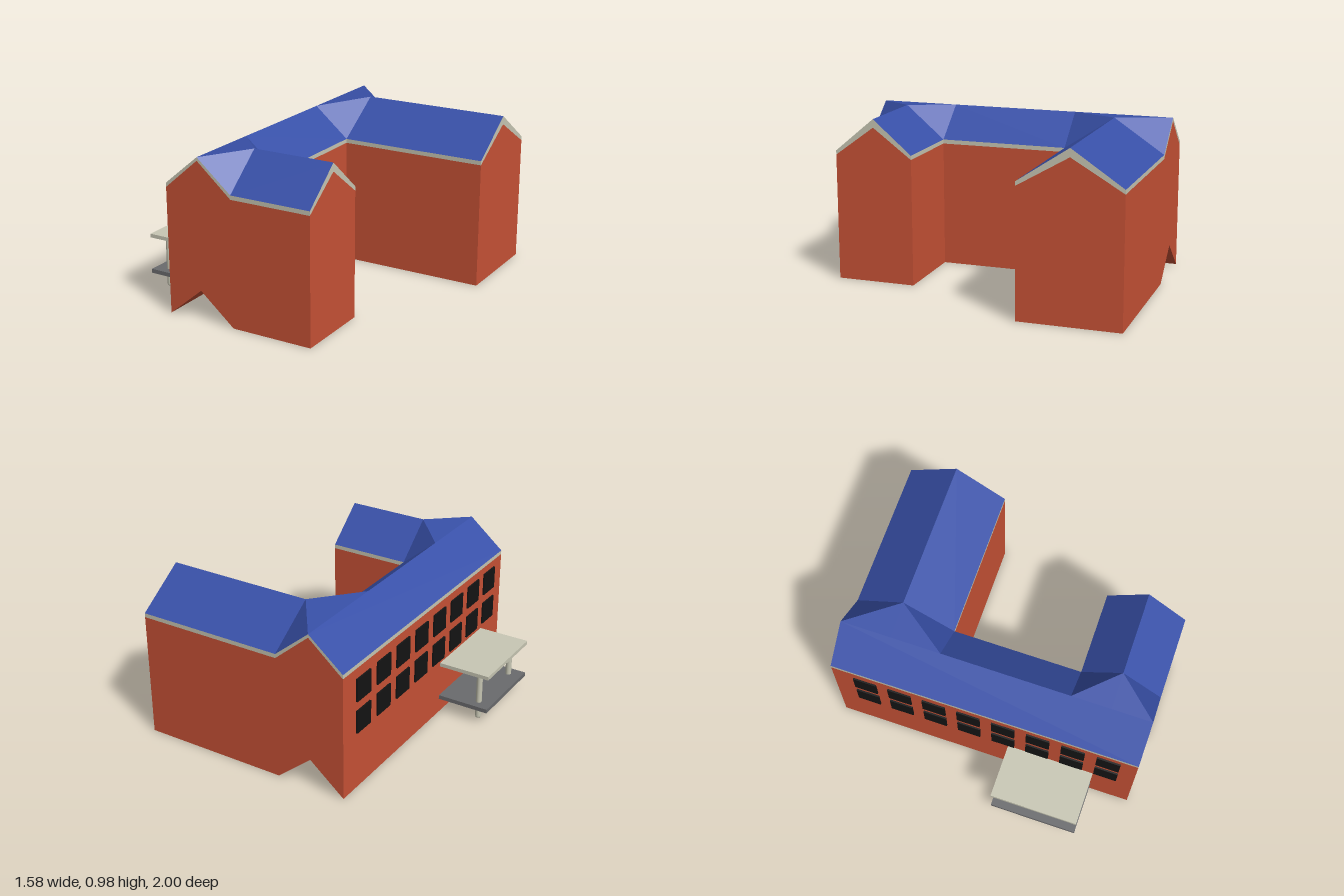
import * as THREE from 'three';

const mat = (color, extra = {}) => new THREE.MeshStandardMaterial({ color, ...extra });
const brick = mat(0xc85236, { flatShading: true });
const cream = mat(0xc8c7b4, { flatShading: true });
const blue = mat(0x3850a8, { flatShading: true });
const dark = mat(0x141414);
const grey = mat(0x6a6b6d);
const round = mat(0xc8c7b4);

// Plan sizes: x runs across the main block, z along it
const LEN = 1.845, MID = 0.215, WIDE = 0.43;
const EAVE = 0.78, RIDGE = 0.96, WING_RIDGE = 0.98, ARCH = 0.18;
const wings = [
  { v0: 0, vm: 0.3, v1: 0.6, end: 1.33 },
  { v0: 1.37, vm: 1.605, v1: LEN, end: 0.93 },
];

// Flat polygons, corners counter-clockwise seen from outside
function faces(name, polys, material) {
  const pos = [];
  for (const p of polys)
    for (let i = 1; i < p.length - 1; i++) pos.push(...p[0], ...p[i], ...p[i + 1]);
  const g = new THREE.BufferGeometry();
  g.setAttribute('position', new THREE.Float32BufferAttribute(pos, 3));
  g.computeVertexNormals();
  const m = new THREE.Mesh(g, material);
  m.name = name;
  return m;
}

function box(name, x0, x1, y0, y1, z0, z1, material) {
  const m = new THREE.Mesh(new THREE.BoxGeometry(x1 - x0, y1 - y0, z1 - z0), material);
  m.position.set((x0 + x1) / 2, (y0 + y1) / 2, (z0 + z1) / 2);
  m.name = name;
  return m;
}

// Building outline: each corner has a floor, wall top and roof height
function outline() {
  const low = (x, z) => ({ x, z, floor: 0, wall: EAVE - 0.025, roof: EAVE });
  const mainGable = (z) => ({ x: MID, z, floor: ARCH, wall: RIDGE - 0.02, roof: RIDGE });
  const wingGable = (x, z) => ({ x, z, floor: 0, wall: WING_RIDGE - 0.05, roof: WING_RIDGE });
  const [back, front] = wings;
  return [
    low(0, 0), low(0, LEN), mainGable(LEN), low(WIDE, LEN),
    low(front.end, LEN), wingGable(front.end, front.vm), low(front.end, front.v0), low(WIDE, front.v0),
    low(WIDE, back.v1), low(back.end, back.v1), wingGable(back.end, back.vm), low(back.end, 0),
    low(WIDE, 0), mainGable(0),
  ];
}

function band(loop, lower, upper) {
  return loop.map((a, i) => {
    const b = loop[(i + 1) % loop.length];
    return [[a.x, a[lower], a.z], [b.x, b[lower], b.z], [b.x, b[upper], b.z], [a.x, a[upper], a.z]];
  });
}

function roofFaces() {
  const polys = [
    [[0, EAVE, LEN], [MID, RIDGE, LEN], [MID, RIDGE, 0], [0, EAVE, 0]],
    [[MID, RIDGE, wings[1].v0], [WIDE, EAVE, wings[1].v0], [WIDE, EAVE, wings[0].v1], [MID, RIDGE, wings[0].v1]],
  ];
  for (const { v0, vm, v1, end } of wings) {
    const top = [WIDE, WING_RIDGE, vm];
    polys.push(
      // wing slopes
      [[WIDE, EAVE, v1], [end, EAVE, v1], [end, WING_RIDGE, vm], top],
      [top, [end, WING_RIDGE, vm], [end, EAVE, v0], [WIDE, EAVE, v0]],
      // transition from the main ridge to the wing gable
      [[MID, RIDGE, v1], [WIDE, EAVE, v1], top, [MID, RIDGE, vm]],
      [[MID, RIDGE, v0], [MID, RIDGE, vm], top, [WIDE, EAVE, v0]],
    );
  }
  return polys;
}

function floorFaces() {
  const strip = (x0, y0, x1, y1, z0, z1) => [[x0, y0, z0], [x1, y1, z0], [x1, y1, z1], [x0, y0, z1]];
  return [
    strip(0, 0, MID, ARCH, 0, LEN),
    strip(MID, ARCH, WIDE, 0, 0, LEN),
    ...wings.map((w) => strip(WIDE, 0, w.end, 0, w.v0, w.v1)),
  ];
}

function makeWindows() {
  const g = new THREE.Group();
  g.name = 'windows';
  for (const y of [0.355, 0.553])
    for (let i = 0; i < 8; i++) {
      const z = 0.2 + i * 0.211, rise = i * 0.0025;
      g.add(box('window', -0.01, 0.01, y + rise, y + 0.14 + rise, z - 0.07, z + 0.07, dark));
    }
  return g;
}

function makePorch() {
  const g = new THREE.Group();
  g.name = 'porch';
  g.add(box('porchRoof', -0.322, 0.125, 0.317, 0.34, 1.076, 1.604, cream));
  g.add(box('porchDeck', -0.322, 0.125, 0.092, 0.117, 1.076, 1.604, grey));
  // columns with softened feet
  const profile = [[0, 0.01], [0.014, 0.01], [0.018, 0.02], [0.018, 0.32]].map((p) => new THREE.Vector2(...p));
  for (const z of [1.14, 1.54]) {
    const c = new THREE.Mesh(new THREE.LatheGeometry(profile, 16), round);
    c.position.set(-0.237, 0, z);
    c.name = 'porchColumn';
    g.add(c);
  }
  return g;
}

export function createModel() {
  const building = new THREE.Group();
  building.name = 'building';
  const loop = outline();
  building.add(
    faces('walls', band(loop, 'floor', 'wall'), brick),
    faces('eaveTrim', band(loop, 'wall', 'roof'), cream),
    faces('roof', roofFaces(), blue),
    faces('underside', floorFaces(), brick),
    makeWindows(),
    makePorch(),
  );
  // the plan is turned slightly on its plot
  building.rotation.y = 0.131;
  building.position.set(-0.61, 0, -0.828);
  const model = new THREE.Group();
  model.name = 'schoolhouse';
  model.add(building);
  return model;
}
